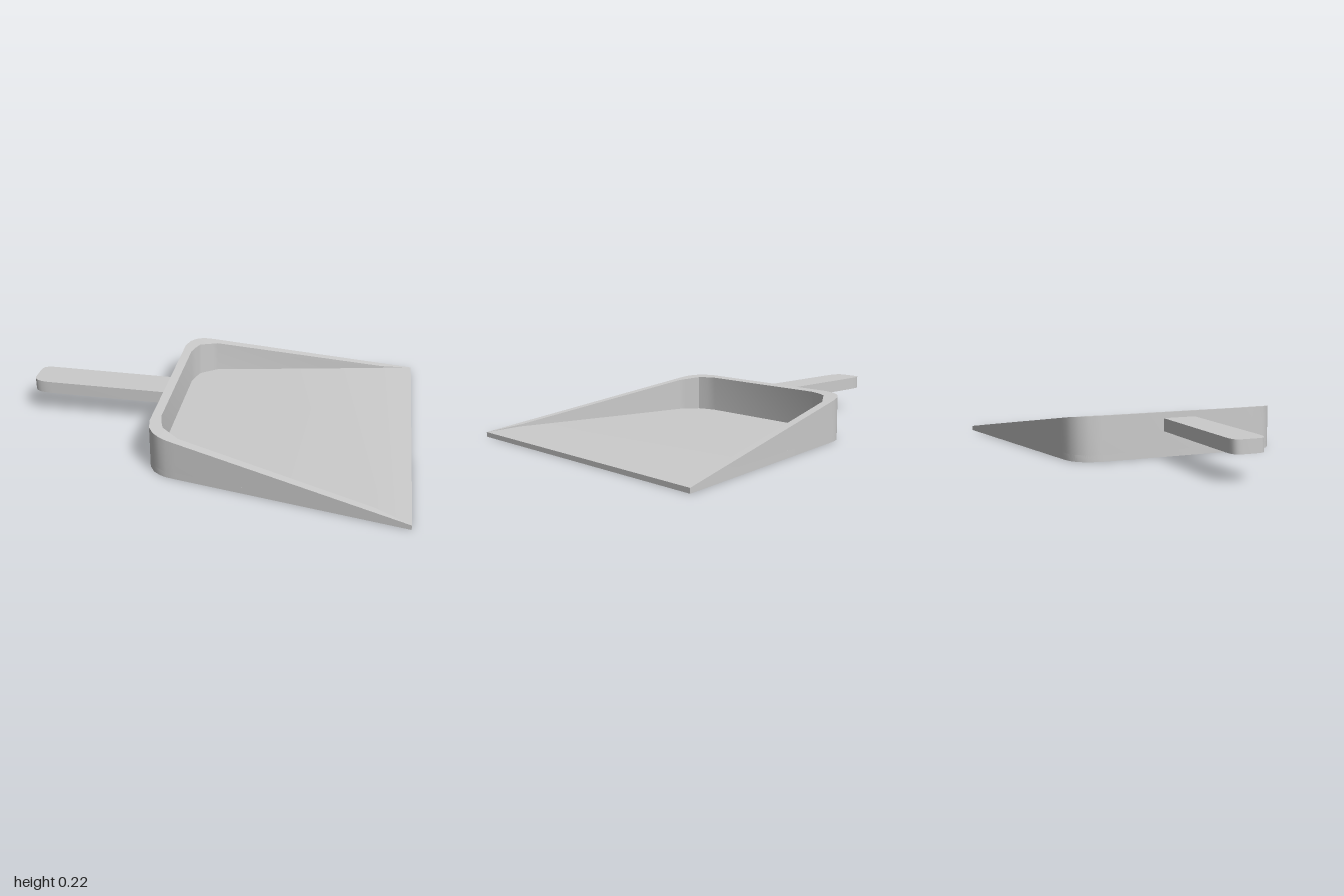
import * as THREE from 'three';
import { toCreasedNormals } from 'three/addons/utils/BufferGeometryUtils.js';

const material = new THREE.MeshStandardMaterial({ color: 0xcccccc });

// Closed solid through four-cornered rings
function loft(rings) {
  const pos = rings.flat(2), index = [];
  for (let s = 0; s < rings.length - 1; s++) {
    for (let i = 0; i < 4; i++) {
      const a = s * 4 + i, b = s * 4 + (i + 1) % 4;
      index.push(a, b, b + 4, a, b + 4, a + 4);
    }
  }
  const e = (rings.length - 1) * 4;
  index.push(0, 2, 1, 0, 3, 2, e, e + 1, e + 2, e, e + 2, e + 3);
  const g = new THREE.BufferGeometry();
  g.setAttribute('position', new THREE.Float32BufferAttribute(pos, 3));
  g.setIndex(index);
  return toCreasedNormals(g, 0.5);
}

// Height along x, straight between [x, y] points
function heightAt(points, x) {
  if (x <= points[0][0]) return points[0][1];
  for (let i = 1; i < points.length; i++) {
    const [x0, y0] = points[i - 1], [x1, y1] = points[i];
    if (x <= x1) return y0 + (y1 - y0) * (x - x0) / (x1 - x0);
  }
  return points[points.length - 1][1];
}

const rimHeights = [[-0.275, 0.225], [-0.2, 0.217], [0.84, 0.05], [1, 0.024]];
const floorHeights = [[-0.275, 0.034], [0.27, 0.036], [0.84, 0.04], [1, 0.024]];

// Plan of one side, front to back: outer x, z, inner x, z
const plan = [
  [1, 0.767, 0.995, 0.762],
  [0.84, 0.739, 0.83, 0.7],
  [-0.12, 0.57, -0.11, 0.525],
  [-0.165, 0.561, -0.135, 0.507],
  [-0.2, 0.548, -0.16, 0.489],
  [-0.235, 0.522, -0.2, 0.46],
  [-0.262, 0.48, -0.218, 0.41],
  [-0.275, 0.415, -0.23, 0.36],
];

export function createModel() {
  const group = new THREE.Group();
  const add = (name, geometry) => {
    const mesh = new THREE.Mesh(geometry, material);
    mesh.name = name;
    group.add(mesh);
  };

  // Floor plate with a thin front lip
  const stations = plan.map(([x, z]) => [x, z]);
  stations.push([0.27, 0.6387]);
  stations.sort((a, b) => a[0] - b[0]);
  add('floor', loft(stations.map(([x, w]) => {
    const t = heightAt(floorHeights, x);
    return [[x, 0, -w], [x, t, -w], [x, t, w], [x, 0, w]];
  })));

  // Rim wall running round both sides and the back
  const mirrored = plan.map(([ox, oz, ix, iz]) => [ox, -oz, ix, -iz]).reverse();
  add('rimWall', loft([...plan, ...mirrored].map(([ox, oz, ix, iz]) => [
    [ox, 0, oz],
    [ox, heightAt(rimHeights, ox), oz],
    [ix, heightAt(rimHeights, ix), iz],
    [ix, 0, iz],
  ])));

  // Flat handle with a rounded end
  const s = new THREE.Shape();
  s.moveTo(-0.26, -0.09);
  s.lineTo(-0.26, 0.08);
  s.lineTo(-0.9, 0.08);
  s.bezierCurveTo(-0.97, 0.08, -1, 0.065, -1, 0.03);
  s.lineTo(-1, -0.045);
  s.bezierCurveTo(-1, -0.08, -0.985, -0.093, -0.93, -0.093);
  const handle = new THREE.ExtrudeGeometry(s, { depth: 0.065, bevelEnabled: false, curveSegments: 6 });
  handle.rotateX(Math.PI / 2).translate(0, 0.195, 0);
  add('handle', toCreasedNormals(handle, 0.6));

  return group;
}
